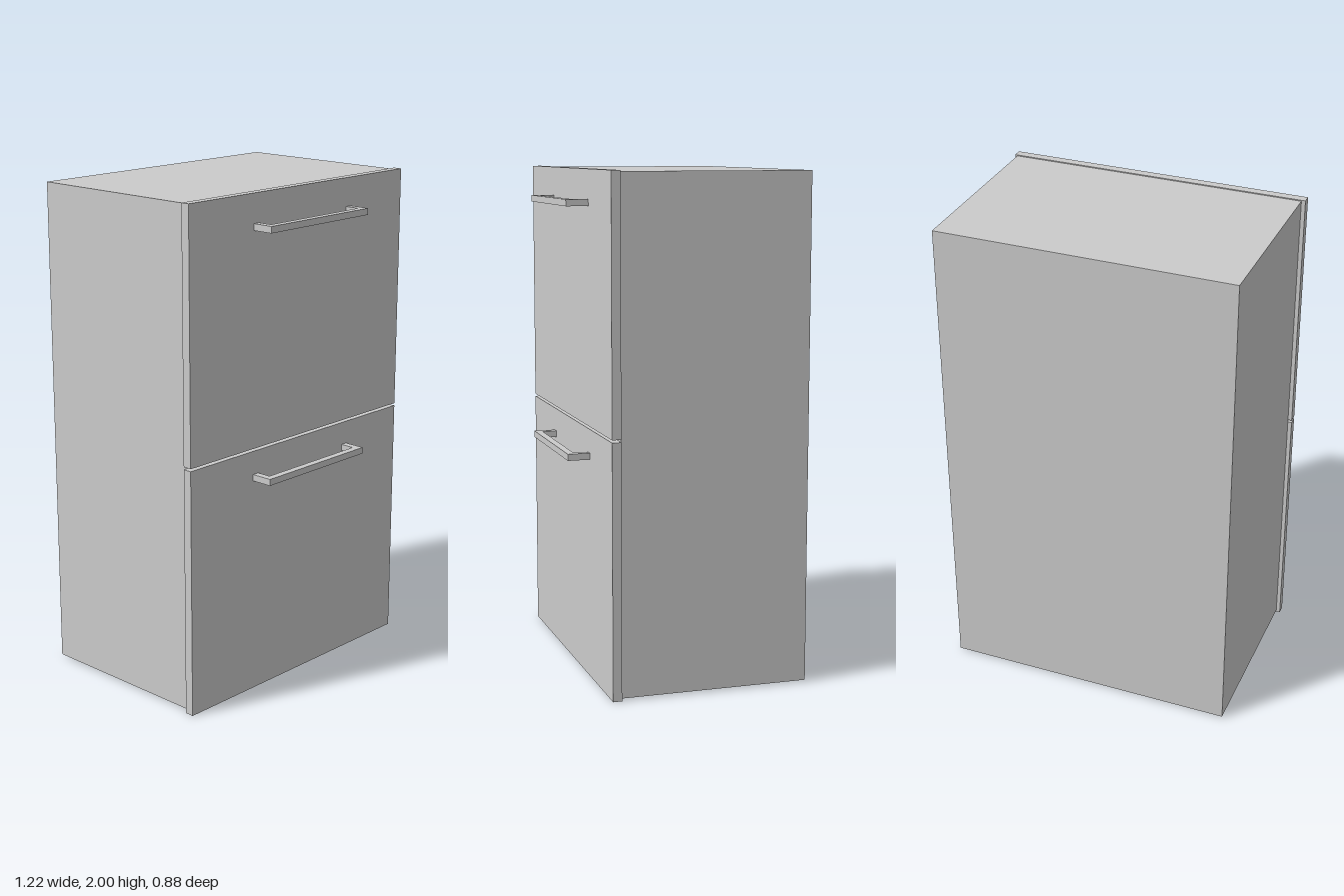
import * as THREE from 'three';

const material = new THREE.MeshStandardMaterial({ color: 0xcccccc, flatShading: true });

// Box given by its min and max corners
function box(name, [x0, y0, z0], [x1, y1, z1]) {
  const mesh = new THREE.Mesh(new THREE.BoxGeometry(x1 - x0, y1 - y0, z1 - z0), material);
  mesh.position.set((x0 + x1) / 2, (y0 + y1) / 2, (z0 + z1) / 2);
  mesh.name = name;
  return mesh;
}

// Square-section U-shaped pull, extruded upwards from its plan outline
function handle(name, y) {
  const x0 = -0.268, x1 = 0.294, z0 = 0.35, z1 = 0.438, t = 0.029;
  const outline = [
    [x0, z0], [x0 + t, z0], [x0 + t, z1 - t], [x1 - t, z1 - t],
    [x1 - t, z0], [x1, z0], [x1, z1], [x0, z1],
  ].map(([x, z]) => new THREE.Vector2(x, -z));
  const geometry = new THREE.ExtrudeGeometry(new THREE.Shape(outline), { depth: 0.026, bevelEnabled: false });
  geometry.rotateX(-Math.PI / 2);
  const mesh = new THREE.Mesh(geometry, material);
  mesh.position.y = y;
  mesh.name = name;
  return mesh;
}

export function createModel() {
  const group = new THREE.Group();
  group.name = 'drawerCabinet';

  // Carcass, slightly smaller than the fronts
  group.add(box('carcass', [-0.594, 0.008, -0.438], [0.601, 1.996, 0.314]));

  // Two drawer fronts with a narrow gap, each with its pull
  const drawers = [
    ['lower', 0, 1.0, 0.88],
    ['upper', 1.01, 2.0, 1.86],
  ];
  for (const [name, bottom, top, handleY] of drawers) {
    const drawer = new THREE.Group();
    drawer.name = name + 'Drawer';
    drawer.add(box(name + 'DrawerFront', [-0.61, bottom, 0.314], [0.61, top, 0.35]));
    drawer.add(handle(name + 'Handle', handleY));
    group.add(drawer);
  }
  return group;
}
